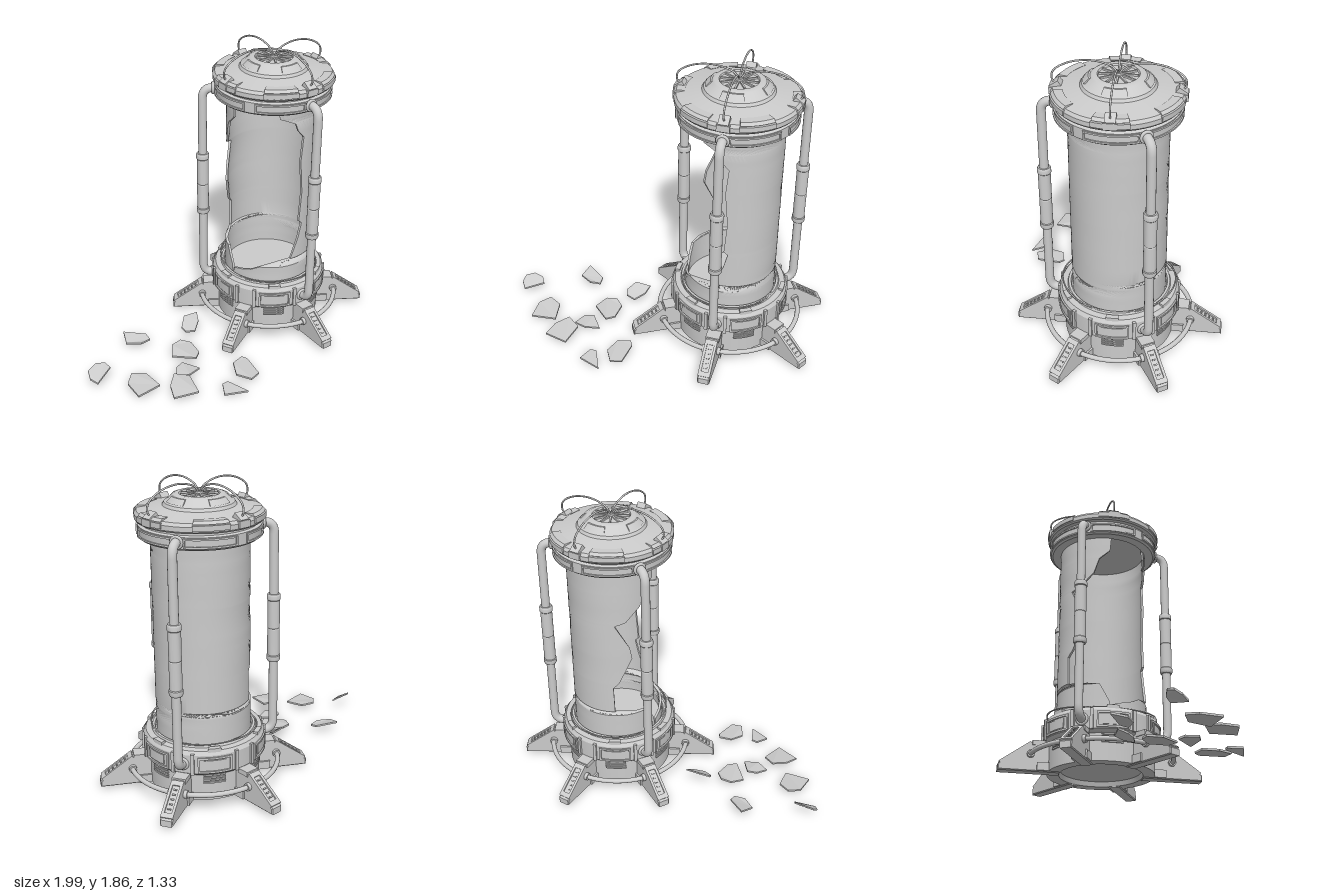
import * as THREE from 'three';
import { toCreasedNormals } from 'three/addons/utils/BufferGeometryUtils.js';

const mat = new THREE.MeshStandardMaterial({ color: 0xcccccc });
const thin = new THREE.MeshStandardMaterial({ color: 0xcccccc, side: THREE.DoubleSide });
const RAD = Math.PI / 180;

function add(parent, name, geo, material = mat) {
  const m = new THREE.Mesh(geo, material);
  m.name = name;
  parent.add(m);
  return m;
}
const lathe = (pts, seg = 64) =>
  toCreasedNormals(new THREE.LatheGeometry(pts.map(p => new THREE.Vector2(...p)), seg), 0.5);

// Box wrapped round the y axis: centred on angle 0 (+z), inner face at radius r, lean = dr/dy
function bentBox(w, h, d, r, y, lean = 0) {
  const g = new THREE.BoxGeometry(w, h, d, 10, 1, 1);
  const p = g.attributes.position;
  for (let i = 0; i < p.count; i++) {
    const a = p.getX(i) / r, rr = r + d / 2 + p.getZ(i) + lean * p.getY(i);
    p.setXYZ(i, Math.sin(a) * rr, y + p.getY(i), Math.cos(a) * rr);
  }
  return toCreasedNormals(g, 0.5);
}

// Turned copies of a part built facing +z
function around(parent, name, angles, build) {
  for (const a of angles) {
    const g = new THREE.Group();
    g.name = name;
    g.rotation.y = a * RAD;
    build(g);
    parent.add(g);
  }
}

// Raised rectangular frame on a curved wall
function frame(g, name, w, h, r, y, t = 0.012, d = 0.012) {
  for (const s of [-1, 1]) {
    add(g, name, bentBox(w, t, d, r, y + s * (h - t) / 2));
    add(g, name, bentBox(t, h, d, r, y)).rotation.y = s * (w - t) / 2 / r;
  }
}

// Linear lookup of an angle by height
function edgeAt(table, y) {
  for (let i = 1; i < table.length; i++) {
    const [y0, a0] = table[i - 1], [y1, a1] = table[i];
    if (y <= y1) return a0 + (a1 - a0) * (y - y0) / (y1 - y0);
  }
  return table[table.length - 1][1];
}

// Broken cylinder wall: closed cross-section between two jagged edges
function brokenTube() {
  const start = [[.34, -90], [.40, -88], [.44, -60], [.47, -48], [.52, -8], [.66, 3], [.76, 8], [.78, 3],
    [.98, 6], [1.2, 2], [1.36, 5], [1.41, -4], [1.46, -8], [1.5, -28], [1.57, -32]];
  const end = [[.34, 270], [.42, 268], [.53, 256], [.54, 240], [.56, 211], [.74, 210], [.78, 218], [.95, 235],
    [1.03, 232], [1.19, 214], [1.21, 228], [1.3, 247], [1.4, 254], [1.46, 268], [1.57, 270]];
  const ys = [...new Set([...start, ...end].map(p => p[0]))].sort((a, b) => a - b);
  const N = 60, cols = 2 * N + 2;
  const geo = new THREE.PlaneGeometry(1, 1, cols, ys.length - 1);
  const p = geo.attributes.position;
  ys.forEach((y, j) => {
    const a = edgeAt(start, y), b = edgeAt(end, y);
    for (let i = 0; i <= cols; i++) {
      const k = i % cols, outer = k <= N;
      const t = (outer ? k : 2 * N + 1 - k) / N, th = (a + (b - a) * t) * RAD, r = outer ? .285 : .27;
      p.setXYZ(j * (cols + 1) + i, Math.sin(th) * r, y, Math.cos(th) * r);
    }
  });
  return toCreasedNormals(geo, 0.6);
}

function pipeCurve() {
  const v = (r, y) => new THREE.Vector3(0, y, r);
  const c = new THREE.CurvePath();
  c.add(new THREE.LineCurve3(v(.33, .28), v(.37, .28)));
  c.add(new THREE.QuadraticBezierCurve3(v(.37, .28), v(.432, .28), v(.432, .35)));
  c.add(new THREE.LineCurve3(v(.432, .35), v(.432, 1.53)));
  c.add(new THREE.QuadraticBezierCurve3(v(.432, 1.53), v(.432, 1.6), v(.37, 1.6)));
  c.add(new THREE.LineCurve3(v(.37, 1.6), v(.33, 1.6)));
  return c;
}

function buildFoot(g) {
  const s = new THREE.Shape([[.27, .03], [.635, .03], [.635, .06], [.43, .205], [.27, .205]].map(p => new THREE.Vector2(...p)));
  const body = new THREE.ExtrudeGeometry(s, { depth: .064, bevelSize: .006, bevelThickness: .006, bevelSegments: 1 });
  body.translate(0, 0, -.032).rotateY(-Math.PI / 2);
  add(g, 'footBody', body);
  // frame and ribbed plate on the slope
  const plate = new THREE.Group();
  plate.name = 'footSlopePlate';
  plate.position.set(0, .139, .536);
  plate.rotation.x = Math.atan2(.145, .205);
  for (const sgn of [-1, 1]) {
    add(plate, 'slopeRail', new THREE.BoxGeometry(.016, .016, .23)).position.x = sgn * .03;
    add(plate, 'slopeEnd', new THREE.BoxGeometry(.076, .016, .03)).position.z = sgn * .1;
  }
  for (let i = -2; i <= 2; i++) add(plate, 'slopeStud', new THREE.BoxGeometry(.02, .014, .008)).position.z = i * .03;
  g.add(plate);
  add(g, 'footTopBlock', new THREE.BoxGeometry(.086, .03, .08)).position.set(0, .203, .395);
  // side gussets and ring sockets
  for (const sgn of [-1, 1]) {
    add(g, 'footGusset', new THREE.BoxGeometry(.02, .05, .09)).position.set(sgn * .04, .055, .36);
    const socket = add(g, 'ringSocket', new THREE.CylinderGeometry(.024, .024, .025, 16));
    socket.rotation.z = Math.PI / 2;
    socket.position.set(sgn * .046, .13, .445);
  }
}

function buildBase(root) {
  const base = new THREE.Group();
  base.name = 'base';
  add(base, 'baseBody', lathe([[0, .06], [.25, .06], [.26, .03], [.335, .03], [.335, .2], [.35, .205], [.365, .22],
    [.365, .335], [.35, .358], [.315, .362], [.31, .375], [.295, .375], [.29, .35], [0, .35]]));
  around(base, 'foot', [0, 60, 120, 180, 240, 300], buildFoot);
  around(base, 'basePanel', [30, 90, 150, 210, 270, 330], g => {
    frame(g, 'panelFrame', .2, .1, .362, .275);
    add(g, 'panelPlate', bentBox(.13, .06, .008, .362, .275));
    for (let i = 0; i < 4; i++) add(g, 'ventSlat', bentBox(.13, .009, .012, .333, .147 + i * .016));
    add(g, 'panelClip', bentBox(.07, .03, .03, .325, .358));
    for (const s of [-1, 1]) add(g, 'collarRib', bentBox(.02, .13, .016, .36, .28)).rotation.y = s * .36;
  });
  const ring = add(base, 'ringPipe', new THREE.TorusGeometry(.45, .015, 12, 72).rotateX(Math.PI / 2));
  ring.position.y = .13;
  // loose cable lying round the collar
  const pts = [];
  for (let i = 0; i < 16; i++) {
    const a = i / 16 * Math.PI * 2;
    pts.push(new THREE.Vector3(Math.sin(a) * .3, .385 + .015 * Math.cos(2 * a), Math.cos(a) * .345));
  }
  add(base, 'looseCable', new THREE.TubeGeometry(new THREE.CatmullRomCurve3(pts, true), 80, .005, 6, true));
  root.add(base);
}

function buildCap(root) {
  const cap = new THREE.Group();
  cap.name = 'cap';
  add(cap, 'capBody', lathe([[0, 1.565], [.27, 1.565], [.28, 1.55], [.34, 1.55], [.352, 1.56], [.352, 1.625], [.335, 1.632],
    [.335, 1.645], [.36, 1.648], [.368, 1.658], [.368, 1.685], [.355, 1.703], [.21, 1.728], [.2, 1.745], [.185, 1.75],
    [.15, 1.785], [.14, 1.79], [.115, 1.79], [.11, 1.78], [0, 1.78]]));
  around(cap, 'capPanel', [30, 90, 150, 210, 270, 330], g => {
    frame(g, 'bandFrame', .3, .055, .348, 1.592, .01, .012);
    add(g, 'rimPlate', bentBox(.2, .03, .02, .355, 1.68));
    add(g, 'shoulderPlate', bentBox(.17, .016, .05, .31, 1.708, -1));
  });
  around(cap, 'domePanel', [0, 90, 180, 270], g => {
    add(g, 'domePlate', bentBox(.12, .03, .02, .158, 1.767, -1));
  });
  // radial fan in the crown
  for (let i = 0; i < 12; i++) {
    const a = i * Math.PI / 6;
    const blade = add(cap, 'fanSpoke', new THREE.BoxGeometry(.01, .012, .085));
    blade.position.set(Math.sin(a) * .065, 1.784, Math.cos(a) * .065);
    blade.rotation.y = a;
  }
  add(cap, 'fanHub', new THREE.CylinderGeometry(.022, .026, .025, 20)).position.y = 1.787;
  // cables arching from the crown to clips on the rim
  const path = new THREE.CatmullRomCurve3([[0, 1.78], [.03, 1.825], [.14, 1.858], [.27, 1.84], [.355, 1.785], [.362, 1.735], [.33, 1.7]]
    .map(([r, y]) => new THREE.Vector3(0, y, r)));
  around(cap, 'capCable', [0, 90, 180, 270], g => {
    add(g, 'cable', new THREE.TubeGeometry(path, 48, .0055, 8));
    const clip = add(g, 'cableClip', new THREE.BoxGeometry(.06, .035, .06));
    clip.position.set(0, 1.708, .342);
    clip.rotation.x = .6;
    add(g, 'cableClipFoot', new THREE.BoxGeometry(.075, .04, .03)).position.set(0, 1.68, .362);
  });
  root.add(cap);
}

// Glass shards: [height, slope along z, outline corners in hundredths]
const SHARDS = [
  [.06, .2, [-61, -20, -49, -12, -49, -7, -56, -6, -64, -11]],
  [.09, .65, [-28, -2, -23, -7, -13, -7, -15, -2, -21, 3, -27, 1]],
  [.08, .65, [-100, 8, -99, 4, -93, 2, -87, 3, -85, 6, -97, 12]],
  [.035, .05, [-45, 13, -40, 5, -33, 4, -28, 9, -29, 20, -34, 24]],
  [.04, .05, [-82, 35, -82, 22, -76, 16, -68, 20, -66, 33]],
  [.018, .03, [-53, 31, -49, 24, -43, 22, -36, 31, -45, 34]],
  [.055, .1, [-66, 49, -63, 40, -56, 33, -48, 38, -51, 53]],
  [.018, .03, [-38, 61, -34, 53, -30, 53, -24, 66]],
  [.045, .05, [-23, 52, -19, 43, -11, 41, -9, 44, -11, 59, -18, 61]],
];
function shard([h, slope, c]) {
  const pts = [];
  for (let i = 0; i < c.length; i += 2) pts.push(new THREE.Vector2(c[i] / 100, -c[i + 1] / 100));
  const mid = pts.reduce((a, b) => a.add(b), new THREE.Vector2()).divideScalar(pts.length);
  const g = new THREE.ExtrudeGeometry(new THREE.Shape(pts), { depth: .012, bevelEnabled: false }).rotateX(-Math.PI / 2);
  const p = g.attributes.position;
  for (let i = 0; i < p.count; i++) {
    const dx = p.getX(i) - mid.x, dz = p.getZ(i) + mid.y;
    p.setY(i, Math.max(0, p.getY(i) + h - slope * dz - 1.5 * dx * dx));
  }
  g.computeVertexNormals();
  return g;
}

export function createModel() {
  const model = new THREE.Group();
  const tank = new THREE.Group();
  tank.name = 'tank';
  tank.position.set(.42, 0, -.033);
  model.add(tank);
  buildBase(tank);
  buildCap(tank);
  add(tank, 'brokenGlassTube', brokenTube(), thin);
  // three outer pipes with sleeves
  const sleeve = lathe([[.027, .74], [.036, .74], [.041, .75], [.041, .775], [.037, .78], [.037, .945], [.034, .95], [.037, .955],
    [.037, 1.125], [.041, 1.13], [.041, 1.155], [.036, 1.165], [.027, 1.165]], 24);
  around(tank, 'outerPipe', [0, 120, 240], g => {
    add(g, 'pipe', new THREE.TubeGeometry(pipeCurve(), 110, .027, 16));
    add(g, 'pipeSleeve', sleeve).position.z = .432;
    for (const y of [.28, 1.6]) add(g, 'pipeFlange', new THREE.TorusGeometry(.03, .01, 8, 24)).position.set(0, y, .367);
  });
  for (const s of SHARDS) add(model, 'glassShard', shard(s), thin);
  return model;
}
